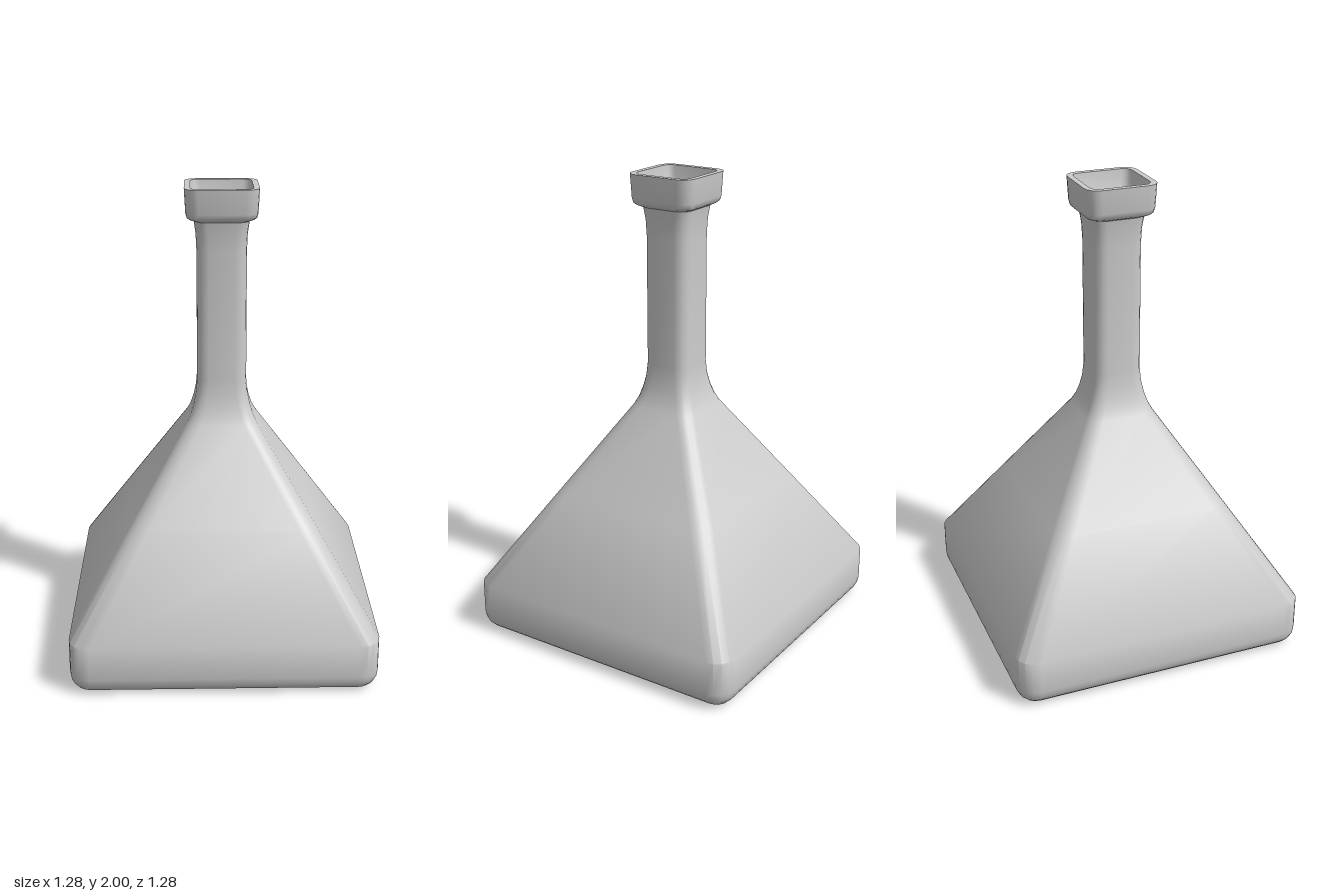
import * as THREE from 'three';
import { toCreasedNormals } from 'three/addons/utils/BufferGeometryUtils.js';

const CORNER_STEPS = 4;

// Rounded-square ring: half width h, corner radius r, height y
function ring([h, y, r]) {
  const points = [];
  for (let q = 0; q < 4; q++) {
    const mid = (q + 0.5) * Math.PI / 2;
    const cx = Math.sign(Math.cos(mid)) * (h - r);
    const cz = Math.sign(Math.sin(mid)) * (h - r);
    for (let k = 0; k <= CORNER_STEPS; k++) {
      const a = (q + k / CORNER_STEPS) * Math.PI / 2;
      points.push([cx + r * Math.cos(a), y, cz + r * Math.sin(a)]);
    }
  }
  return points;
}

// Skin a list of [half width, height, corner radius] sections; both ends close on the axis
function loft(sections) {
  const rings = sections.map(ring);
  const n = rings[0].length;
  const positions = [];
  const last = sections.length - 1;
  const push = (...pts) => pts.forEach((p) => positions.push(...p));
  for (let j = 0; j < n; j++) {
    const k = (j + 1) % n;
    push([0, sections[0][1], 0], rings[0][j], rings[0][k]);
    for (let i = 0; i < last; i++) {
      push(rings[i][j], rings[i + 1][j], rings[i][k]);
      push(rings[i][k], rings[i + 1][j], rings[i + 1][k]);
    }
    push(rings[last][j], [0, sections[last][1], 0], rings[last][k]);
  }
  const g = new THREE.BufferGeometry();
  g.setAttribute('position', new THREE.Float32BufferAttribute(positions, 3));
  return toCreasedNormals(g, 0.75);
}

export function createModel() {
  const group = new THREE.Group();
  group.name = 'squareFlask';
  const material = new THREE.MeshStandardMaterial({ color: 0xcccccc });

  const sections = [];
  // Rounded foot
  for (let i = 0; i <= 5; i++) {
    const a = (i / 5) * Math.PI / 2;
    sections.push([0.565 + 0.077 * Math.sin(a), 0.08 - 0.077 * Math.cos(a) - 0.003, 0.01 + 0.077 * Math.sin(a)]);
  }
  sections.push(
    // Outer wall: base band, sloping body, neck
    [0.642, 0.22, 0.087], [0.39, 0.62, 0.07], [0.15, 1.0, 0.055],
    [0.133, 1.035, 0.052], [0.119, 1.08, 0.05], [0.109, 1.13, 0.05], [0.104, 1.19, 0.05],
    [0.104, 1.74, 0.05], [0.107, 1.81, 0.05], [0.114, 1.862, 0.05],
    // Collar
    [0.134, 1.872, 0.05], [0.143, 1.88, 0.052], [0.148, 1.9, 0.054], [0.153, 2.0, 0.055],
    // Mouth
    [0.128, 2.0, 0.035], [0.12, 1.91, 0.033], [0.112, 1.89, 0.032], [0.095, 1.878, 0.03],
    [0.082, 1.86, 0.03], [0.077, 1.8, 0.028],
    // Inner wall, down to the inner floor
    [0.076, 1.19, 0.028], [0.082, 1.12, 0.028], [0.1, 1.04, 0.03], [0.12, 0.99, 0.032],
    [0.61, 0.21, 0.06], [0.61, 0.08, 0.06], [0.595, 0.045, 0.045], [0.56, 0.03, 0.01]
  );

  const flask = new THREE.Mesh(loft(sections), material);
  flask.name = 'flaskBody';
  group.add(flask);
  return group;
}
